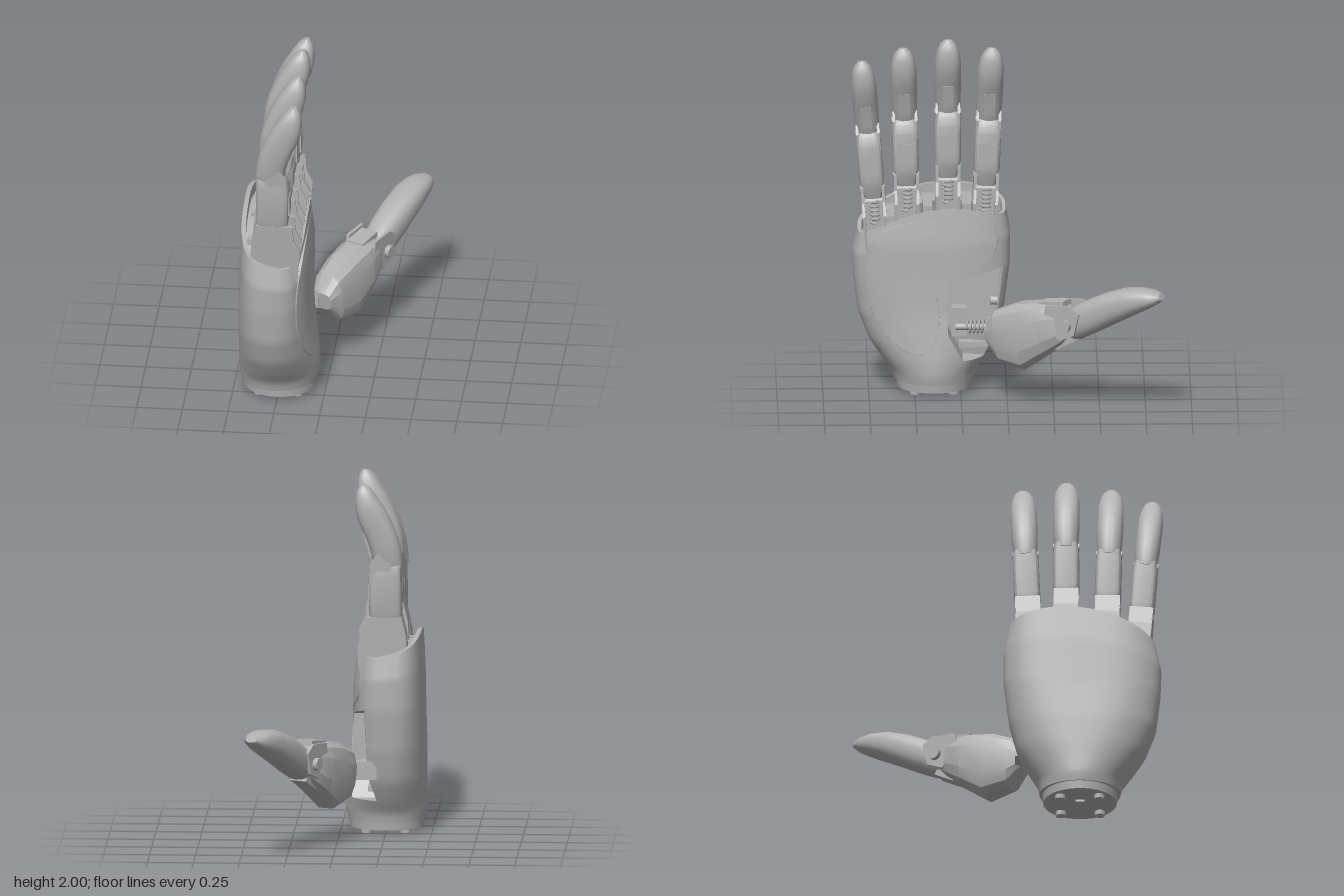
import * as THREE from 'three';
import { toCreasedNormals } from 'three/addons/utils/BufferGeometryUtils.js';

const grey = new THREE.MeshStandardMaterial({ color: 0xb0b0b0 });
grey.name = 'grey shell';

function add(parent, name, geo, x = 0, y = 0, z = 0) {
  const m = new THREE.Mesh(geo, grey);
  m.name = name;
  m.position.set(x, y, z);
  parent.add(m);
  return m;
}
const box = (p, name, w, h, d, x, y, z) => add(p, name, new THREE.BoxGeometry(w, h, d), x, y, z);

// Skin a stack of closed rings of [x, y, z] points
function skin(rings, crease = 0.6) {
  const n = rings[0].length, idx = [];
  for (let i = 0; i < rings.length - 1; i++) for (let j = 0; j < n; j++) {
    const k = (j + 1) % n, a = i * n + j, b = i * n + k;
    idx.push(a, b, b + n, a, b + n, a + n);
  }
  const g = new THREE.BufferGeometry();
  g.setAttribute('position', new THREE.Float32BufferAttribute(rings.flat(2), 3));
  g.setIndex(idx);
  return toCreasedNormals(g, crease);
}

// Loft of superellipse sections [x, y, halfDepth, halfWidth]; the axis runs at angle `dir` in the xy plane
function loft(sections, dir, sides, n, crease) {
  const first = sections[0], last = sections[sections.length - 1];
  const all = [[first[0], first[1], 0, 0], ...sections, [last[0], last[1], 0, 0]];
  const a = dir + Math.PI / 2, f = v => Math.sign(v) * Math.abs(v) ** (2 / n);
  return skin(all.map(([x, y, h, w]) => Array.from({ length: sides }, (_, j) => {
    const t = (j + 0.5) / sides * Math.PI * 2, c = f(Math.cos(t)) * h;
    return [x + c * Math.cos(a), y + c * Math.sin(a), f(Math.sin(t)) * w];
  })), crease);
}

// Coil spring along +y
function spring(radius, length, turns, wire) {
  const pts = Array.from({ length: turns * 10 + 1 }, (_, i) => {
    const t = i / 10 * Math.PI * 2;
    return new THREE.Vector3(Math.cos(t) * radius, i / (turns * 10) * length, Math.sin(t) * radius);
  });
  return new THREE.TubeGeometry(new THREE.CatmullRomCurve3(pts), turns * 12, wire, 5);
}

function pin(parent, name, r, len, x, y, z = 0) {
  add(parent, name, new THREE.CylinderGeometry(r, r, len, 14), x, y, z).rotation.x = Math.PI / 2;
}

function plate(points, depth) {
  const g = new THREE.ExtrudeGeometry(new THREE.Shape(points.map(p => new THREE.Vector2(...p))), { depth, bevelEnabled: false });
  return g.translate(0, 0, -depth / 2);
}

// Palm sections: height, z min, z max, back x, front x, squareness
const PALM = [
  [0.07, 0.175, 0.615, -0.46, -0.04, 2], [0.12, 0.165, 0.63, -0.47, -0.03, 2],
  [0.2, 0.115, 0.69, -0.47, -0.033, 2.1], [0.3, 0.055, 0.755, -0.47, -0.045, 2.3],
  [0.45, 0.01, 0.81, -0.468, -0.065, 2.6], [0.65, -0.02, 0.833, -0.46, -0.075, 3],
  [0.85, -0.02, 0.838, -0.455, -0.08, 3.2], [1, 0.005, 0.81, -0.445, -0.1, 3.5]];
const XM = -0.27, CUT0 = 0.2, CUT1 = 0.65;

function palmAt(r) {
  let i = 0;
  while (i < PALM.length - 2 && r > PALM[i + 1][0]) i++;
  const t = (r - PALM[i][0]) / (PALM[i + 1][0] - PALM[i][0]);
  return PALM[i].map((v, k) => v + (PALM[i + 1][k] - v) * t);
}
function palmX(r, z, front) {
  const [, z0, z1, xb, xf, n] = palmAt(r);
  const u = Math.min(1, Math.abs((z - (z0 + z1) / 2) / ((z1 - z0) / 2)));
  return XM + ((front ? xf : xb) - XM) * (1 - u ** n) ** (1 / n);
}
// Domed, sloping rim and slanted upper edge of the thumb opening
function palmY(r, x, z) {
  const top = 1.12 - 0.65 * (z - 0.3) ** 2 - 0.22 * (x + 0.45);
  const mid = CUT1 + 0.22 * Math.max(0, 0.32 - z);
  if (r <= CUT0) return r;
  if (r <= CUT1) return CUT0 + (r - CUT0) / (CUT1 - CUT0) * (mid - CUT0);
  return mid + (r - CUT1) / (1 - CUT1) * (top - mid);
}
function palmRing(r, cut) {
  const [, z0, z1] = palmAt(r), N = 16, ring = [];
  const zc = 0.24 + 0.08 * THREE.MathUtils.clamp((r - CUT0) / 0.15, 0, 1);
  // The floor of the opening rises towards the index edge
  const put = (z, front, clamp) => {
    const x = palmX(r, z, front);
    ring.push([clamp ? Math.min(x, -0.25 + 0.38 * (zc - z)) : x, palmY(r, x, z), z]);
  };
  for (let i = N; i >= 0; i--) put(zc + (z1 - zc) * Math.sin(i / N * Math.PI / 2), true, false);
  for (let i = 0; i <= N; i++) put(zc + (z0 - zc) * Math.sin(i / N * Math.PI / 2), true, cut);
  for (let i = 1; i < 30; i++) put((z0 + z1) / 2 - (z1 - z0) / 2 * Math.cos(i / 30 * Math.PI), false, false);
  return ring;
}

function buildPalm(root) {
  const g = new THREE.Group();
  g.name = 'palm';
  root.add(g);
  const rings = [palmRing(0.07, false).map(([, y, z]) => [XM, y, z])];
  const rows = (a, b, n, cut) => {
    for (let i = 0; i <= n; i++) rings.push(palmRing(a + (b - a) * i / n, cut));
  };
  rows(0.07, CUT0, 6, false);
  rows(CUT0, CUT1, 16, true);
  rows(CUT1, 1, 14, false);
  // Rim lip and sunken top
  const lip = rings[rings.length - 1].map(([x, y, z]) => [XM + (x - XM) * 0.86, y, 0.4 + (z - 0.4) * 0.95]);
  const sunk = lip.map(([x, y, z]) => [x, y - 0.06, z]);
  rings.push(lip, sunk, sunk.map(([, y, z]) => [XM, y, z]));
  add(g, 'palm shell', skin(rings, 0.55));

  // Raised pad on the palm
  const outline = [[0.46, 0.24], [0.37, 0.36], [0.37, 0.6], [0.29, 0.7], [0.08, 0.77], [0.05, 0.9], [0.14, 0.98],
    [0.4, 0.99], [0.65, 0.94], [0.75, 0.84], [0.77, 0.6], [0.7, 0.4], [0.58, 0.27]];
  const edge = new THREE.CatmullRomCurve3(outline.map(([z, y]) => new THREE.Vector3(0, y, z)), true).getPoints(64).slice(0, 64);
  const pad = [1, 0.985, 0.85, 0.7, 0.5, 0.3, 0.15, 0].map((s, i) => edge.map(p => {
    const z = 0.5 + (p.z - 0.5) * s, y = 0.72 + (p.y - 0.72) * s;
    return [palmX(Math.min(y, 1), z, true) + (i ? 0.006 : -0.012), y, z];
  }));
  add(g, 'palm pad', skin(pad, 0.5));

  // Wrist mount
  add(g, 'wrist disc', new THREE.CylinderGeometry(0.205, 0.2, 0.045, 40), -0.25, 0.047, 0.395);
  for (let i = 0; i < 4; i++) {
    const a = (i + 0.5) * Math.PI / 2;
    add(g, 'wrist bolt', new THREE.CylinderGeometry(0.028, 0.028, 0.03, 10), -0.25 + 0.15 * Math.cos(a), 0.015, 0.395 + 0.15 * Math.sin(a));
  }
  box(g, 'wrist plug', 0.1, 0.015, 0.05, -0.25, 0.02, 0.395);

  // Ribs between the finger bays
  for (const [z, y] of [[0.22, 1.02], [0.43, 1.01], [0.63, 0.95]]) box(g, 'bay rib', 0.27, 0.1, 0.05, -0.27, y, z);

  // Thumb drive in the opening
  box(g, 'drive block', 0.1, 0.16, 0.08, -0.2, 0.4, 0.26);
  box(g, 'thumb bracket', 0.14, 0.1, 0.06, -0.14, 0.38, 0.07);
  box(g, 'drive rail', 0.06, 0.03, 0.16, -0.19, 0.27, 0.18);
  pin(g, 'drive shaft', 0.018, 0.24, -0.13, 0.38, 0.16);
  add(g, 'drive spring', spring(0.032, 0.13, 6, 0.007), -0.13, 0.38, 0.09).rotation.x = Math.PI / 2;
  pin(g, 'drive screw', 0.025, 0.04, -0.16, 0.52, 0.07);
}

function buildFinger(root, name, y, z, lean, width) {
  const g = new THREE.Group(), up = Math.PI / 2;
  g.name = name;
  g.position.set(0, y, z);
  g.rotation.x = lean;
  g.scale.z = width;
  root.add(g);
  // Knuckle: solid back, two cheeks, spring and pin
  add(g, 'knuckle block', plate([[-0.365, -0.08], [-0.22, -0.08], [-0.22, 0.17], [-0.27, 0.22], [-0.345, 0.265], [-0.37, 0.16], [-0.375, 0.08]], 0.13));
  for (const s of [-1, 1]) {
    add(g, 'knuckle cheek', plate([[-0.36, -0.08], [-0.12, -0.08], [-0.105, 0.11], [-0.14, 0.18], [-0.145, 0.265],
      [-0.34, 0.265], [-0.37, 0.1]], 0.016), 0, 0, s * 0.06);
    add(g, 'fingertip bracket', plate([[-0.3, 0.46], [-0.18, 0.46], [-0.175, 0.56], [-0.21, 0.61], [-0.28, 0.6]], 0.014), 0, 0, s * 0.06);
  }
  add(g, 'knuckle spring', spring(0.026, 0.12, 5, 0.007), -0.18, 0.06, 0);
  pin(g, 'joint pin', 0.024, 0.14, -0.25, 0.235);
  // Middle segment with faceted shell
  add(g, 'middle segment', loft([[-0.26, 0.19, 0.065, 0.05], [-0.26, 0.25, 0.085, 0.064], [-0.257, 0.29, 0.09, 0.072],
    [-0.255, 0.49, 0.09, 0.071], [-0.262, 0.54, 0.082, 0.065], [-0.265, 0.58, 0.06, 0.048]], up, 16, 5, 0.35));
  box(g, 'middle pad', 0.03, 0.11, 0.09, -0.177, 0.38, 0);
  pin(g, 'fingertip pin', 0.02, 0.142, -0.25, 0.55);
  // Curved fingertip
  add(g, 'fingertip', loft([[-0.278, 0.52, 0.072, 0.058], [-0.27, 0.56, 0.08, 0.067], [-0.252, 0.65, 0.086, 0.071],
    [-0.228, 0.72, 0.089, 0.072], [-0.197, 0.79, 0.09, 0.072], [-0.172, 0.86, 0.079, 0.07], [-0.152, 0.92, 0.058, 0.06],
    [-0.142, 0.96, 0.039, 0.044], [-0.136, 0.985, 0.015, 0.021]], up, 24, 2.7, 0.8));
  box(g, 'tendon slot cover', 0.02, 0.13, 0.06, -0.162, 0.66, 0).rotation.z = -0.25;
}

function buildThumb(root) {
  const g = new THREE.Group();
  g.name = 'thumb';
  g.rotation.y = 1.093;
  root.add(g);
  add(g, 'thumb base', loft([[-0.11, 0.37, 0.05, 0.06], [-0.04, 0.365, 0.145, 0.092], [0.1, 0.38, 0.187, 0.11],
    [0.24, 0.44, 0.15, 0.114], [0.34, 0.475, 0.115, 0.097], [0.39, 0.49, 0.08, 0.07]], 0.15, 12, 3, 0.35));
  add(g, 'thumb tip', loft([[0.36, 0.46, 0.07, 0.06], [0.42, 0.485, 0.088, 0.078], [0.52, 0.54, 0.092, 0.087],
    [0.63, 0.597, 0.088, 0.091], [0.75, 0.65, 0.078, 0.09], [0.84, 0.678, 0.06, 0.08], [0.9, 0.691, 0.04, 0.063],
    [0.938, 0.697, 0.018, 0.033]], 0.45, 24, 2.5, 0.8));
  // Hinge
  for (const s of [-1, 1]) {
    add(g, 'thumb hinge plate', plate([[0.26, 0.5], [0.36, 0.4], [0.45, 0.44], [0.48, 0.56], [0.42, 0.6], [0.28, 0.59]], 0.018), 0, 0, s * 0.085);
    pin(g, 'thumb hinge bolt', 0.035, 0.03, 0.4, 0.49, s * 0.105);
  }
  box(g, 'thumb top cover', 0.15, 0.03, 0.1, 0.29, 0.585, 0).rotation.z = 0.12;
  box(g, 'thumb lower cover', 0.13, 0.05, 0.1, 0.36, 0.385, 0).rotation.z = 0.5;
}

export function createModel() {
  const root = new THREE.Group();
  root.name = 'mechanical hand';
  buildPalm(root);
  buildFinger(root, 'index finger', 0.965, 0.12, -0.04, 1);
  buildFinger(root, 'middle finger', 1.01, 0.32, 0, 1);
  buildFinger(root, 'ring finger', 0.965, 0.54, 0.025, 1);
  buildFinger(root, 'little finger', 0.895, 0.71, 0.08, 0.95);
  buildThumb(root);
  return root;
}
